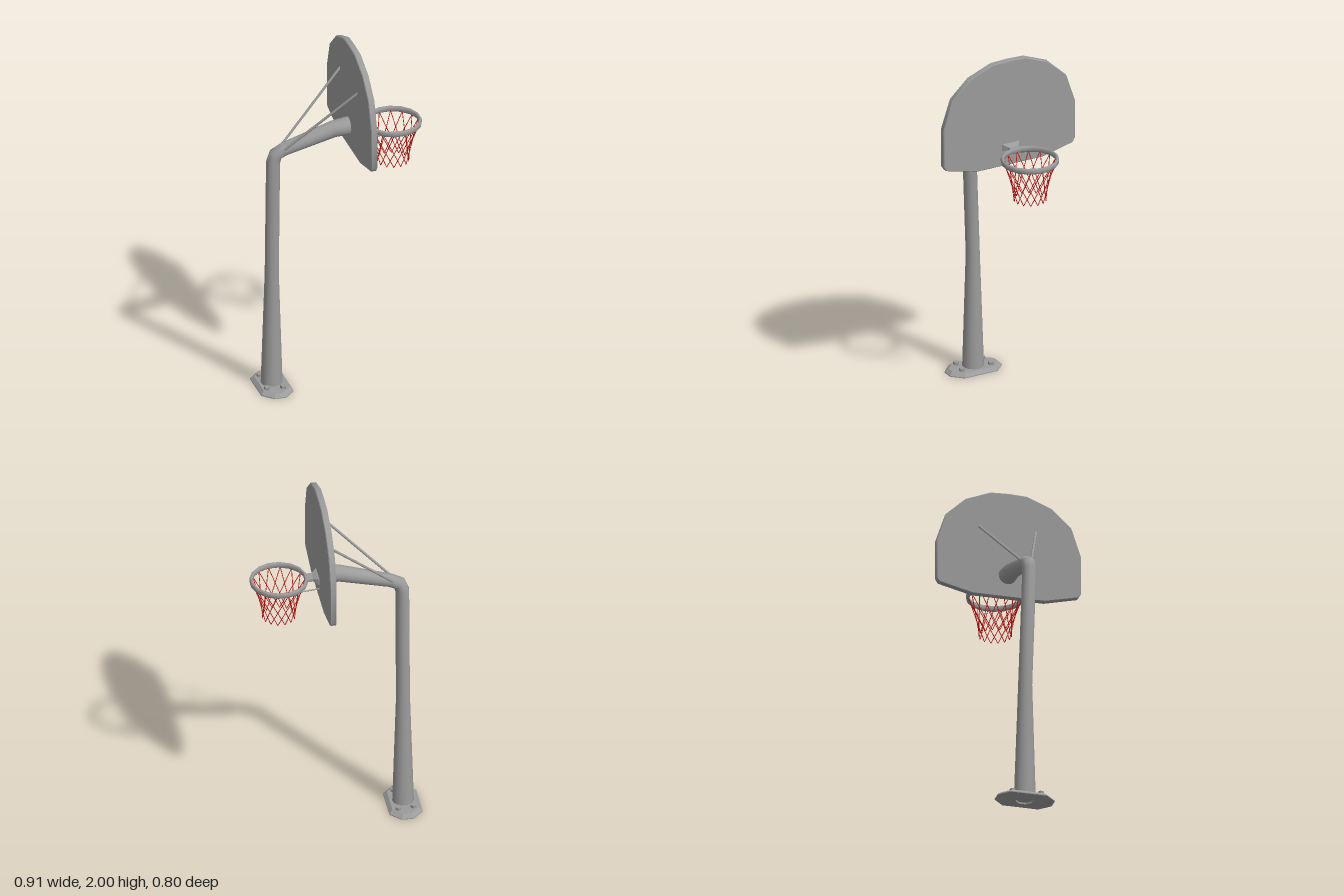
import * as THREE from 'three';
import { toCreasedNormals } from 'three/addons/utils/BufferGeometryUtils.js';

const V = (x, y, z) => new THREE.Vector3(x, y, z);
const AXIS_Z = -0.007; // the arm and hoop share this plane
const grey = new THREE.MeshStandardMaterial({ color: 0x9b9b9b });
const red = new THREE.MeshStandardMaterial({ color: 0xc01818 });

// Skin over rings of points that run counter-clockwise about the direction of travel
function loft(rings, caps, crease) {
  const n = rings[0].length, index = [];
  for (let i = 0; i < rings.length - 1; i++) {
    for (let j = 0; j < n; j++) {
      const a = i * n + j, b = i * n + (j + 1) % n;
      index.push(a, b, b + n, a, b + n, a + n);
    }
  }
  const last = (rings.length - 1) * n;
  for (let k = 1; caps && k < n - 1; k++) {
    index.push(0, k + 1, k, last, last + k, last + k + 1);
  }
  const geo = new THREE.BufferGeometry().setFromPoints(rings.flat());
  geo.setIndex(index);
  return toCreasedNormals(geo, crease);
}

// Straight round rod between two points
function rod(a, b, radius, sides, open = false) {
  const geo = new THREE.CylinderGeometry(radius, radius, a.distanceTo(b), sides, 1, open);
  const turn = new THREE.Quaternion().setFromUnitVectors(V(0, 1, 0), b.clone().sub(a).normalize());
  const mid = a.clone().add(b).multiplyScalar(0.5);
  return geo.applyQuaternion(turn).translate(mid.x, mid.y, mid.z);
}

export function createModel() {
  const model = new THREE.Group();
  const add = (name, geo, material = grey, parent = model) => {
    const mesh = new THREE.Mesh(geo, material);
    mesh.name = name;
    parent.add(mesh);
  };
  const group = (name) => {
    const g = new THREE.Group();
    g.name = name;
    model.add(g);
    return g;
  };

  // Base plate: chamfered octagon with a hole under the pole
  const baseX = -0.366, baseZ = -0.03;
  const octagon = (hx, hz, cut, y) => [
    [hx - cut, hz], [hx, hz - cut], [hx, cut - hz], [hx - cut, -hz],
    [cut - hx, -hz], [-hx, cut - hz], [-hx, hz - cut], [cut - hx, hz],
  ].map(([x, z]) => V(baseX + x, y, baseZ + z));
  add('basePlate', loft([
    octagon(0.046, 0.046, 0.027, 0.012), octagon(0.046, 0.046, 0.027, 0),
    octagon(0.09, 0.158, 0.058, 0), octagon(0.09, 0.158, 0.058, 0.005),
    octagon(0.072, 0.138, 0.05, 0.022), octagon(0.04, 0.04, 0.023, 0.022),
  ], false, 0.2));

  // Five-sided anchor bolts
  const bolts = group('anchorBolts');
  [[-0.044, -0.078], [0.039, -0.088], [-0.05, 0.076], [0.037, 0.088]].forEach(([x, z], i) => {
    const geo = new THREE.CylinderGeometry(0.017, 0.017, 0.02, 5);
    geo.rotateY(i * 1.3 + 0.4).translate(baseX + x, 0.028, baseZ + z);
    add('anchorBolt', toCreasedNormals(geo, 0.3), grey, bolts);
  });

  // Pole and bent arm: x, y, z, radius along the centre line
  const line = [
    [-0.367, 0.01, -0.03, 0.059], [-0.367, 0.68, -0.028, 0.038],
    [-0.367, 1.36, -0.005, 0.038], [-0.352, 1.405, AXIS_Z, 0.038],
    [-0.305, 1.43, AXIS_Z, 0.037], [-0.03, 1.508, AXIS_Z, 0.046],
    [0.06, 1.516, AXIS_Z, 0.05],
  ];
  const sides = 16;
  const poleRings = line.map(([x, y, z, r], i) => {
    const p = line[Math.max(i - 1, 0)], q = line[Math.min(i + 1, line.length - 1)];
    // average the two neighbouring directions so each joint is mitred
    const before = V(x - p[0], y - p[1], 0).normalize();
    const after = V(q[0] - x, q[1] - y, 0).normalize();
    const t = before.add(after).normalize();
    const v = V(0, 0, 1), u = v.clone().cross(t);
    return Array.from({ length: sides }, (_, j) => {
      const a = (j / sides) * Math.PI * 2;
      return V(x, y, z).addScaledVector(u, r * Math.cos(a)).addScaledVector(v, r * Math.sin(a));
    });
  });
  add('poleAndArm', loft(poleRings, true, 0.9));

  // Backboard: fan-shaped panel, its rim shaded smoothly around the curve
  const half = [[0.2, 1.39], [0.385, 1.435], [0.4, 1.458], [0.4, 1.68], [0.347, 1.84], [0.24, 1.94], [0.1, 1.996]];
  const outline = [...half, [0, 2], ...half.map(([z, y]) => [-z, y]).reverse()];
  const bevel = 0.004;
  const board = new THREE.ExtrudeGeometry(
    new THREE.Shape(outline.map(([z, y]) => new THREE.Vector2(z, y))),
    { depth: 0.027, bevelEnabled: true, bevelThickness: bevel, bevelSize: bevel, bevelOffset: -bevel, bevelSegments: 1 },
  );
  board.rotateY(Math.PI / 2).translate(0.0595, 0, 0);
  add('backboard', toCreasedNormals(board, 0.6));

  // Hoop: sixteen-sided ring with a tall rounded section and flats facing the axes
  const hoopX = 0.302, hoopSides = 16;
  const section = [[0.145, 1.484], [0.152, 1.484], [0.157, 1.491], [0.157, 1.508], [0.152, 1.515],
    [0.145, 1.515], [0.14, 1.508], [0.14, 1.491], [0.145, 1.484]];
  const rim = new THREE.LatheGeometry(section.map(([r, y]) => new THREE.Vector2(r, y)), hoopSides);
  rim.rotateY(Math.PI / hoopSides).translate(hoopX, 0, AXIS_Z);
  add('hoop', toCreasedNormals(rim, 1.1));

  // Bracket between board and hoop
  const slice = (x, hy, hz) => [[1, 1], [-1, 1], [-1, -1], [1, -1]]
    .map(([y, z]) => V(x, 1.499 + y * hy, AXIS_Z + z * hz));
  add('hoopBracket', loft([
    slice(0.085, 0.02, 0.051), slice(0.096, 0.018, 0.051),
    slice(0.12, 0.008, 0.03), slice(0.162, 0.008, 0.03),
  ], true, 0.2));

  // Mirrored rods: hoop braces and backboard struts
  const braces = group('hoopBraces'), struts = group('backboardStruts');
  for (const s of [-1, 1]) {
    add('hoopBrace', rod(V(0.086, 1.452, AXIS_Z + s * 0.045), V(0.212, 1.491, AXIS_Z + s * 0.116), 0.004, 8), grey, braces);
    add('backboardStrut', rod(V(-0.315, 1.437, AXIS_Z + s * 0.028), V(0.062, 1.792, AXIS_Z + s * 0.158), 0.007, 8), grey, struts);
  }

  // Net: straight cords twisted both ways, which narrow and cross into diamonds
  const net = group('net'), loops = 14;
  const point = (step, r, y) => {
    const a = (step / loops) * Math.PI * 2;
    return V(hoopX + r * Math.cos(a), y, AXIS_Z + r * Math.sin(a));
  };
  for (let i = 0; i < loops; i++) {
    for (const s of [-2, 2]) {
      add('netCord', rod(point(i, 0.142, 1.492), point(i + s, 0.087, 1.267), 0.002, 20, true), red, net);
    }
  }
  return model;
}
